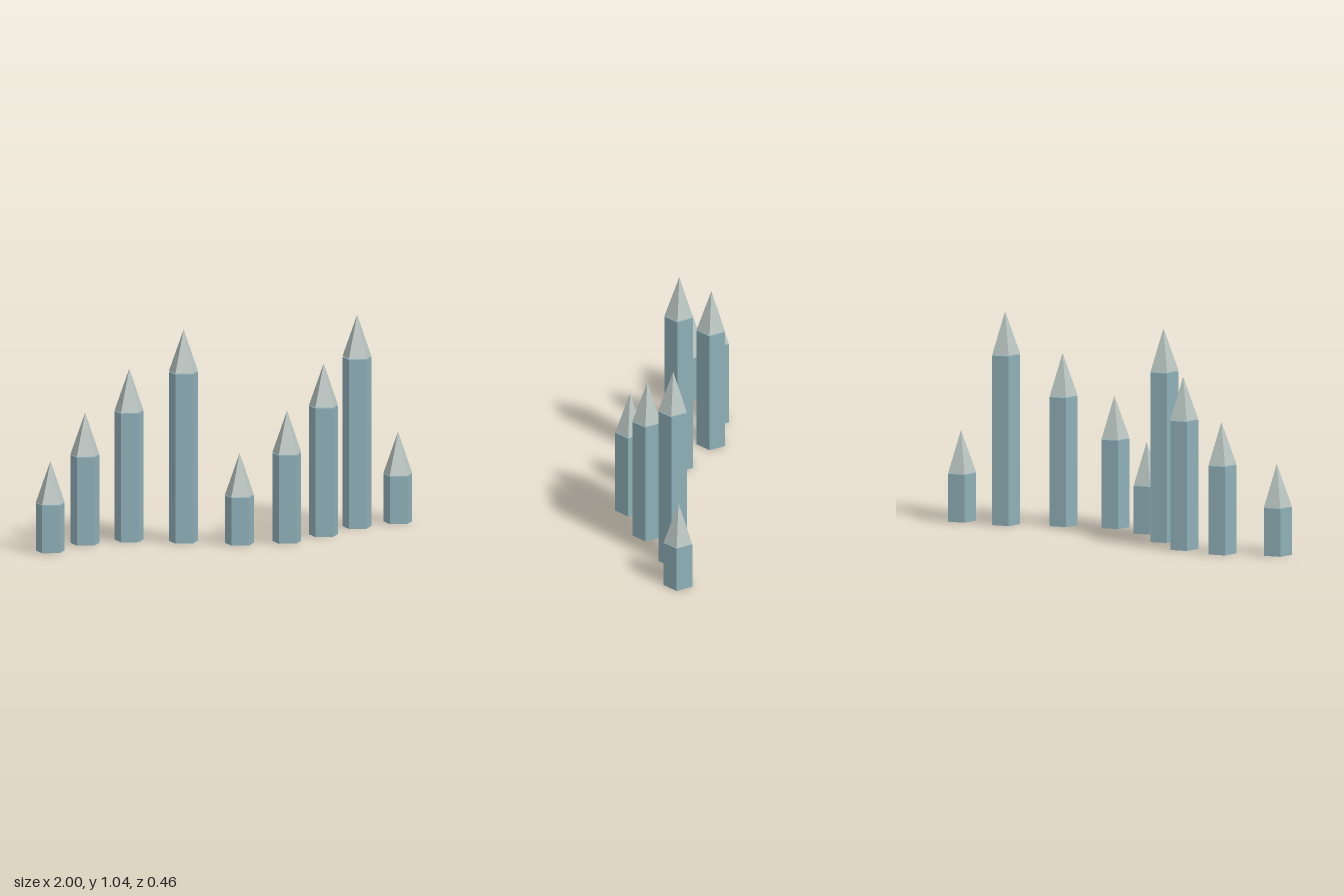
import * as THREE from 'three';

const COUNT = 9, SIDES = 5, RADIUS = 0.0734, SPACING = 0.2333;

export function createModel() {
  const model = new THREE.Group();
  model.name = 'postRow';

  const shaftMat = new THREE.MeshStandardMaterial({ color: 0x8fb0b8 });
  shaftMat.name = 'blueGreyShaft';
  const tipMat = new THREE.MeshStandardMaterial({ color: 0xb8c4c0 });
  tipMat.name = 'paleGreyTip';

  // Five-sided prism or pyramid with one corner towards +x, standing on y = 0
  const faceted = (topRadius, height) => {
    const geo = new THREE.CylinderGeometry(topRadius, RADIUS, height, SIDES, 1, false, Math.PI / 2)
      .translate(0, height / 2, 0).toNonIndexed();
    geo.computeVertexNormals();
    return geo;
  };
  const tipGeo = faceted(0, 0.207);

  // Posts follow a sine wave in plan; heights repeat in four steps
  for (let i = 0; i < COUNT; i++) {
    const step = i % 4;
    const post = new THREE.Group();
    post.name = `post${i + 1}`;
    post.position.set(-0.9404 + i * SPACING, 0, 0.0025 - 0.166 * Math.sin(i));

    const shaft = new THREE.Mesh(faceted(RADIUS, 0.2345 + step * 0.199), shaftMat);
    shaft.name = 'shaft';

    // Tip sits a hair above the shaft
    const tip = new THREE.Mesh(tipGeo, tipMat);
    tip.name = 'tip';
    tip.position.y = 0.2375 + step * 0.1995;

    post.add(shaft, tip);
    model.add(post);
  }
  return model;
}
